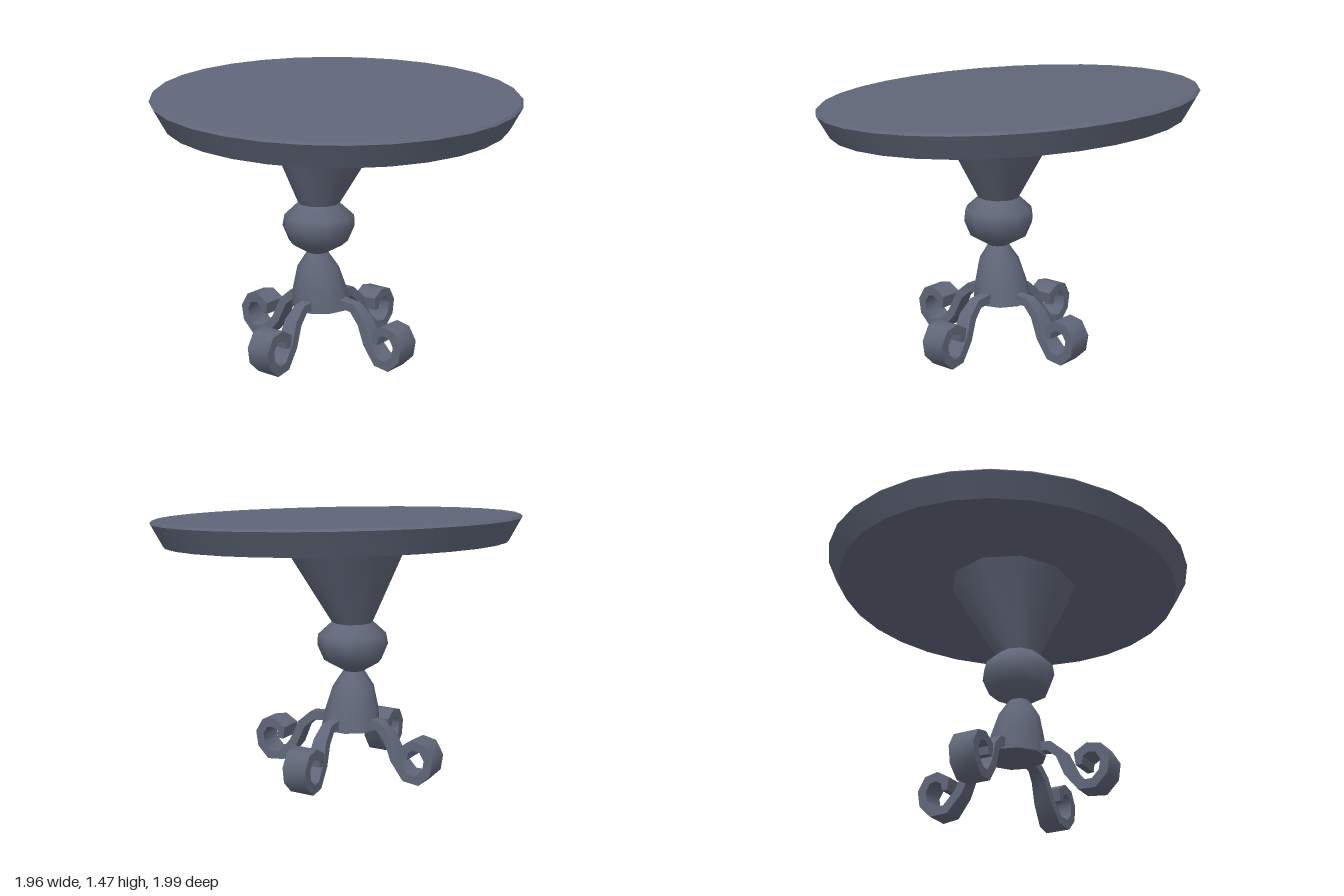
import * as THREE from 'three';
import { toCreasedNormals } from 'three/addons/utils/BufferGeometryUtils.js';

const material = new THREE.MeshStandardMaterial({ color: 0x606678 });
const deg = Math.PI / 180;

// Slight tilt shared by the table top and the top of the flared stem
const tilt = (x, z) => -0.046 * x - 0.0425 * z;

function addMesh(parent, name, geometry, crease) {
  const mesh = new THREE.Mesh(toCreasedNormals(geometry, crease * deg), material);
  mesh.name = name;
  parent.add(mesh);
  return mesh;
}

// Ten-sided turned part; each ring is [radius, y, centre x, centre z, follows tilt]
function turned(rings) {
  const geometry = new THREE.LatheGeometry(rings.map(([r, y]) => new THREE.Vector2(r, y)), 10, 18 * deg);
  const p = geometry.attributes.position;
  for (let i = 0; i < p.count; i++) {
    const [, y, cx, cz, tilted] = rings[i % rings.length];
    const x = p.getX(i) + cx, z = p.getZ(i) + cz;
    p.setXYZ(i, x, y + (tilted ? tilt(x, z) : 0), z);
  }
  return geometry;
}

// Thirty-sided tilted disc, slightly oval along one diagonal, with sloping edge and a fine lip
function topGeometry() {
  const profile = [[0, 1.281], [0.933, 1.281], [1, 1.403], [0.988, 1.416], [0, 1.416]];
  const geometry = new THREE.LatheGeometry(profile.map(([r, y]) => new THREE.Vector2(r, y)), 30, 6 * deg);
  const p = geometry.attributes.position;
  for (let i = 0; i < p.count; i++) {
    const x = 0.98 * p.getX(i) + 0.011 * p.getZ(i);
    const z = p.getZ(i) + 0.011 * p.getX(i) - 0.005;
    p.setXYZ(i, x, p.getY(i) + tilt(x, z), z);
  }
  return geometry;
}

// Scrolled strap: rectangular section swept along a path, widening outward, thinner at the tip
function legGeometry() {
  const path = [
    [0.115, 0.295], [0.205, 0.287], [0.27, 0.23], [0.32, 0.118], [0.39, 0.034], [0.467, 0.028],
    [0.52, 0.08], [0.531, 0.15], [0.497, 0.208], [0.44, 0.22], [0.388, 0.19], [0.39, 0.136],
  ].map(([x, y]) => new THREE.Vector2(x, y));
  const last = path.length - 1;
  const positions = [], index = [];
  path.forEach((point, i) => {
    const before = point.clone().sub(path[Math.max(i - 1, 0)]).normalize();
    const after = path[Math.min(i + 1, last)].clone().sub(point).normalize();
    const t = before.clone().add(after).normalize();
    const half = i === last ? 0.017 : 0.024;
    const miter = half / t.dot(i < last ? after : before);
    const w = 0.03 + 0.039 * THREE.MathUtils.clamp((i - 1) / 4, 0, 1);
    for (const [a, b] of [[1, 1], [-1, 1], [-1, -1], [1, -1]]) {
      positions.push(point.x - t.y * miter * a, point.y + t.x * miter * a, w * b);
    }
    if (i === last) return;
    for (let k = 0; k < 4; k++) {
      const a = i * 4 + k, b = i * 4 + (k + 1) % 4;
      index.push(a, b, b + 4, a, b + 4, a + 4);
    }
  });
  const e = last * 4;
  index.push(2, 1, 0, 3, 2, 0, e, e + 1, e + 2, e, e + 2, e + 3);
  const geometry = new THREE.BufferGeometry();
  geometry.setAttribute('position', new THREE.Float32BufferAttribute(positions, 3));
  geometry.setIndex(index);
  return geometry;
}

export function createModel() {
  const table = new THREE.Group();
  table.name = 'pedestalTable';

  addMesh(table, 'tableTop', topGeometry(), 30);

  // Pedestal: bell base, round knob and flared stem
  const pedestal = new THREE.Group();
  pedestal.name = 'pedestal';
  table.add(pedestal);
  addMesh(pedestal, 'bellBase', turned([
    [0, 0.253, -0.05, 0.07], [0.162, 0.253, -0.05, 0.07], [0.147, 0.355, -0.052, 0.08],
    [0.113, 0.48, -0.053, 0.093], [0.056, 0.567, -0.053, 0.098],
  ]), 60);
  addMesh(pedestal, 'knob', turned([
    [0.056, 0.565, -0.053, 0.098], [0.158, 0.625, -0.05, 0.093], [0.194, 0.71, -0.05, 0.092],
    [0.187, 0.77, -0.046, 0.09], [0.112, 0.838, -0.048, 0.09],
  ]), 80);
  addMesh(pedestal, 'flaredStem', turned([
    [0.112, 0.836, -0.048, 0.09], [0.345, 1.284, -0.029, 0.049, true],
  ]), 60);

  // Four scrolled legs
  const legs = new THREE.Group();
  legs.name = 'legs';
  legs.position.set(-0.028, 0, 0.065);
  table.add(legs);
  const geometry = legGeometry();
  for (let i = 0; i < 4; i++) {
    addMesh(legs, 'scrolledLeg', geometry, 50).rotation.y = i * Math.PI / 2;
  }
  return table;
}
